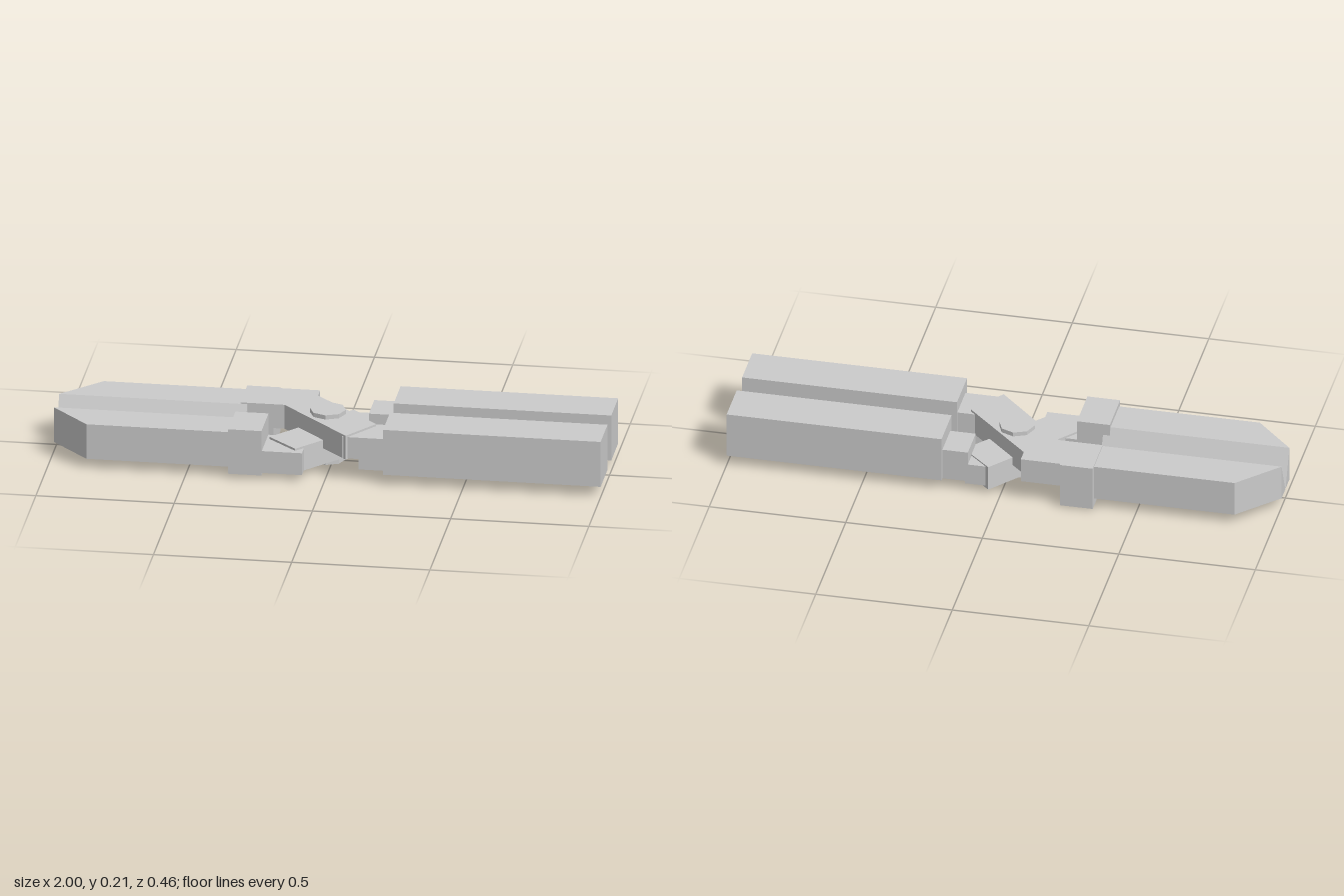
import * as THREE from 'three';
import { ConvexGeometry } from 'three/addons/geometries/ConvexGeometry.js';

const material = new THREE.MeshStandardMaterial({ color: 0xcccccc, flatShading: true });

export function createModel() {
  const model = new THREE.Group();

  const add = (name, geometry) => {
    const mesh = new THREE.Mesh(geometry, material);
    mesh.name = name;
    model.add(mesh);
    return mesh;
  };

  // Box given by its limits on each axis
  const box = (name, [x0, x1], [y0, y1], [z0, z1]) =>
    add(name, new THREE.BoxGeometry(x1 - x0, y1 - y0, z1 - z0))
      .position.set((x0 + x1) / 2, (y0 + y1) / 2, (z0 + z1) / 2);

  // Plan outline of [x, z] corners raised from y0 to y1
  const plate = (name, outline, y0, y1) => {
    const shape = new THREE.Shape(outline.map(([x, z]) => new THREE.Vector2(x, -z)));
    const geometry = new THREE.ExtrudeGeometry(shape, { depth: y1 - y0, bevelEnabled: false });
    geometry.rotateX(-Math.PI / 2);
    add(name, geometry).position.y = y0;
  };

  // Jaw: bar with a sloped inner face and a chamfered tip
  const jaw = (name, side, shift) => {
    const bottom = 0.037, top = 0.17, crest = 0.063, outer = 0.208;
    const points = [
      [-0.32, bottom, 0], [-0.32, bottom, outer], [-0.32, top, outer], [-0.32, top, crest],
      [-0.86, bottom, outer], [-0.86, top, outer],
      [-1, bottom, 0], [-1, bottom, crest], [-1, top, crest],
    ].map(([x, y, z]) => new THREE.Vector3(x, y, z * side + shift));
    add(name, new ConvexGeometry(points));
  };
  jaw('frontJaw', 1, 0.005);
  jaw('backJaw', -1, 0);

  // Sleeves holding the jaws
  box('frontJawSleeve', [-0.345, -0.225], [0.016, 0.187], [0.055, 0.228]);
  box('backJawSleeve', [-0.345, -0.225], [0.006, 0.175], [-0.23, -0.065]);

  // Upper arm with its jaw bracket, crossing from back to front
  plate('upperArm', [
    [-0.225, -0.222], [-0.08, -0.222], [-0.08, -0.172], [0.166, 0.07],
    [0.075, 0.198], [-0.185, -0.065], [-0.225, -0.065],
  ], 0.083, 0.175);

  // Lower arm and its jaw bracket, crossing from front to back
  plate('lowerArm', [[-0.215, 0.1], [-0.107, 0.2], [0.155, -0.1], [0.043, -0.205]], 0.021, 0.115);
  plate('frontJawBracket', [
    [-0.225, 0.06], [-0.18, 0.06], [-0.08, 0.17], [-0.08, 0.22], [-0.225, 0.22],
  ], 0.023, 0.107);

  // Octagonal pivot pin
  const pin = add('pivotPin', new THREE.CylinderGeometry(0.065, 0.065, 0.191, 8));
  pin.position.set(-0.02, 0.0955, -0.011);

  // Stepped brackets joining the arms to the handles
  box('frontHandleBracket', [0.12, 0.22], [0.045, 0.167], [0.053, 0.19]);
  box('frontHandleTongue', [0.06, 0.13], [0.085, 0.167], [0.11, 0.19]);
  box('backHandleBracket', [0.12, 0.22], [0.04, 0.16], [-0.195, -0.063]);
  box('backHandleTongue', [0.055, 0.13], [0.03, 0.11], [-0.195, -0.08]);

  // Handles
  box('frontHandle', [0.213, 1], [0.04, 0.213], [0.048, 0.216]);
  box('backHandle', [0.213, 1], [0.04, 0.213], [-0.21, -0.042]);

  return model;
}
